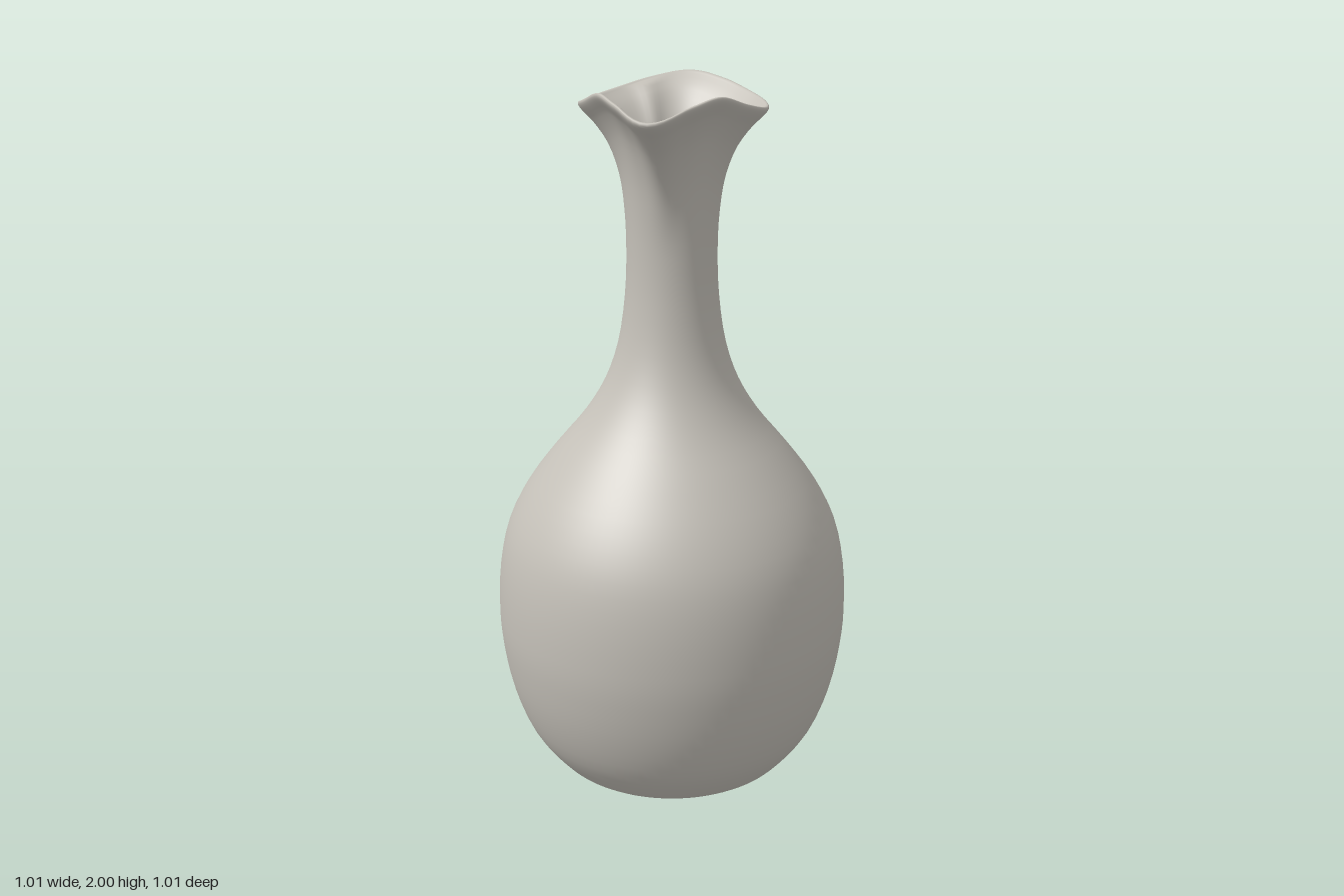
import * as THREE from 'three';
import { mergeVertices } from 'three/addons/utils/BufferGeometryUtils.js';

const ceramic = new THREE.MeshStandardMaterial({ color: 0xc4c0b8 });
ceramic.name = 'warm grey ceramic';

// Round wall profile (radius, height): foot, outside, lip
const outside = [
  [0, 0], [0.2, 0], [0.29, 0], [0.335, 0.012], [0.37, 0.045], [0.43, 0.13], [0.475, 0.25],
  [0.5, 0.38], [0.507, 0.48], [0.5, 0.62], [0.474, 0.74], [0.42, 0.85], [0.34, 0.96],
  [0.25, 1.07], [0.19, 1.17], [0.152, 1.28], [0.131, 1.42], [0.126, 1.55], [0.13, 1.66],
  [0.143, 1.76], [0.172, 1.85], [0.21, 1.91], [0.238, 1.94], [0.249, 1.956], [0.248, 1.964], [0.241, 1.965],
];
// Inside wall, from the lip down to the floor
const inside = [
  [0.232, 1.957], [0.195, 1.92], [0.154, 1.85], [0.126, 1.76], [0.112, 1.66], [0.105, 1.55],
  [0.11, 1.42], [0.131, 1.28], [0.17, 1.17], [0.23, 1.07], [0.32, 0.96], [0.4, 0.85],
  [0.454, 0.74], [0.48, 0.62], [0.487, 0.48], [0.48, 0.38], [0.455, 0.25], [0.41, 0.13],
  [0.35, 0.05], [0.25, 0.03], [0, 0.03],
];

// Lip radius and height every 22.5 degrees from front to back, mirrored left to right
const lip = [
  [0.315, 1.945], [0.264, 1.978], [0.235, 1.994], [0.24, 1.966], [0.258, 1.946],
  [0.257, 1.95], [0.25, 1.966], [0.258, 1.986], [0.273, 2.0],
];
const lipCurve = new THREE.SplineCurve(
  [lip[1], ...lip, lip[7]].map(([r, h]) => new THREE.Vector2(r, h)));

function lipAt(angle) {
  const a = Math.min(Math.abs(angle) / Math.PI, 1);
  return lipCurve.getPoint((1 + 8 * a) / 10);
}

function createVaseGeometry() {
  const curve = new THREE.CatmullRomCurve3(
    [...outside, ...inside].map(([r, y]) => new THREE.Vector3(r, y, 0)));
  const steps = (outside.length + inside.length - 1) * 3;
  const profile = curve.getPoints(steps).map(p => new THREE.Vector2(Math.max(p.x, 0), Math.max(p.y, 0)));
  const segments = 96;
  const geometry = new THREE.LatheGeometry(profile, segments);
  const pos = geometry.attributes.position;
  const lipStart = outside.length * 3;

  // Flare and wave the top of the neck into the lip shape
  for (let i = 0; i < pos.count; i++) {
    const j = i % profile.length;
    const { x: r, y } = profile[j];
    const w = THREE.MathUtils.smoothstep(y, 1.55, 1.965);
    if (w === 0) continue;
    const column = Math.floor(i / profile.length) % segments;
    let angle = (column / segments) * Math.PI * 2;
    if (angle > Math.PI) angle -= Math.PI * 2;
    const target = lipAt(angle);
    let radius = r * (1 + w * (target.x / 0.249 - 1));
    // Small pinched fold inside the back of the mouth
    if (j >= lipStart) radius -= 0.018 * w * Math.exp(-(((angle + 2.62) / 0.17) ** 2));
    pos.setXYZ(i, radius * Math.sin(angle), y + w * w * (target.y - 1.965), radius * Math.cos(angle));
  }

  // Weld the seam so the shading is smooth all round
  geometry.deleteAttribute('uv');
  geometry.deleteAttribute('normal');
  const welded = mergeVertices(geometry, 1e-5);
  welded.computeVertexNormals();
  return welded;
}

export function createModel() {
  const group = new THREE.Group();
  group.name = 'vase';
  const body = new THREE.Mesh(createVaseGeometry(), ceramic);
  body.name = 'vaseBody';
  group.add(body);
  return group;
}
